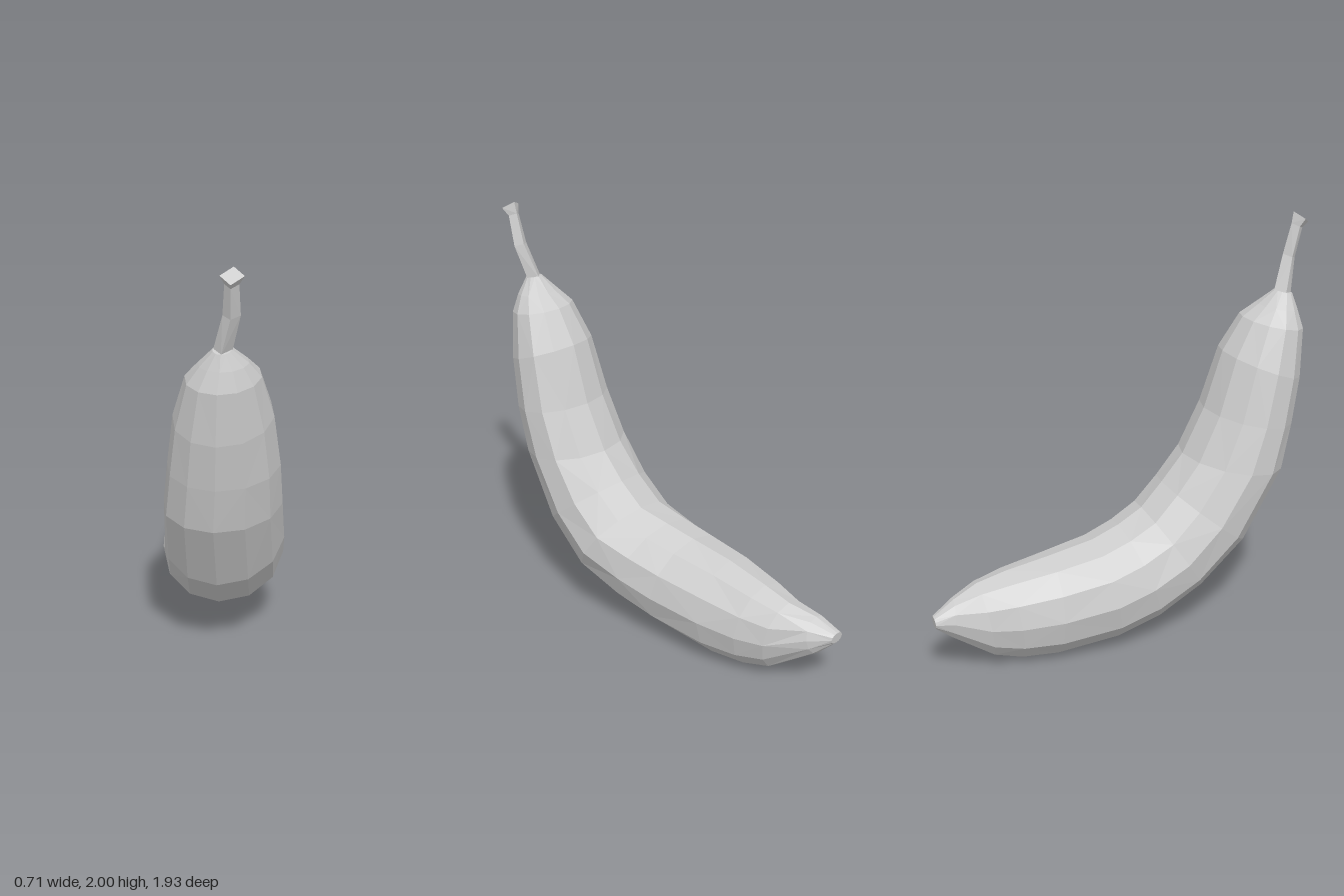
import * as THREE from 'three';

// Each section: [outer z, outer y, inner z, inner y, centre x, half width]
const BODY = [
  [0.875, 1.62, 0.79, 1.64, 0.135, 0.04],
  [0.895, 1.55, 0.71, 1.575, 0.135, 0.105],
  [0.918, 1.46, 0.63, 1.52, 0.128, 0.16],
  [0.90, 1.22, 0.53, 1.36, 0.118, 0.215],
  [0.86, 1.0, 0.44, 1.08, 0.108, 0.245],
  [0.81, 0.78, 0.33, 0.86, 0.09, 0.262],
  [0.61, 0.42, 0.22, 0.73, 0.068, 0.272],
  [0.38, 0.21, 0.11, 0.62, 0.035, 0.277],
  [0.15, 0.09, -0.02, 0.57, -0.025, 0.265],
  [-0.07, 0.03, -0.16, 0.53, -0.075, 0.255],
  [-0.38, 0.0, -0.38, 0.495, -0.125, 0.23],
  [-0.55, 0.01, -0.60, 0.455, -0.155, 0.19],
  [-0.68, 0.045, -0.74, 0.42, -0.178, 0.145],
  [-0.89, 0.20, -0.86, 0.38, -0.24, 0.08],
  [-0.955, 0.27, -0.96, 0.325, -0.283, 0.037],
];
const STEM = [
  [0.965, 1.945, 0.89, 2.0, 0.192, 0.05],
  [0.935, 1.92, 0.88, 1.945, 0.187, 0.03],
  [0.90, 1.78, 0.84, 1.80, 0.18, 0.037],
  [0.87, 1.61, 0.785, 1.63, 0.135, 0.04],
];

const SKEW = -0.12; // the fruit's bending plane is turned slightly about y

// Skin closed rings through the sections and cap both ends
function loft(sections, sides) {
  const pos = [];
  const index = [];
  for (const [oz, oy, iz, iy, cx, hw] of sections) {
    for (let j = 0; j < sides; j++) {
      const a = (j / sides) * Math.PI * 2;
      const t = (1 - Math.cos(a)) / 2;
      const dx = hw * Math.sin(a);
      pos.push(cx + dx, oy + (iy - oy) * t, oz + (iz - oz) * t + SKEW * dx);
    }
  }
  const last = sections.length - 1;
  for (let i = 0; i < last; i++) {
    for (let j = 0; j < sides; j++) {
      const k = (j + 1) % sides;
      const a = i * sides + j, b = i * sides + k;
      const c = b + sides, d = a + sides;
      // alternating diagonals give the irregular facets
      if ((i + j) % 2) index.push(a, d, c, a, c, b);
      else index.push(a, d, b, b, d, c);
    }
  }
  for (let j = 1; j < sides - 1; j++) {
    const e = last * sides;
    index.push(0, j, j + 1, e, e + j + 1, e + j);
  }
  const geo = new THREE.BufferGeometry();
  geo.setAttribute('position', new THREE.Float32BufferAttribute(pos, 3));
  geo.setIndex(index);
  geo.computeVertexNormals();
  return geo;
}

export function createModel() {
  const group = new THREE.Group();
  group.name = 'banana';
  const material = new THREE.MeshStandardMaterial({ color: 0xcccccc, flatShading: true });

  // Curved fruit body, from shoulder to blunt tip
  const body = new THREE.Mesh(loft(BODY, 12), material);
  body.name = 'body';

  // Thin stem with a flared, slanted cut end
  const stem = new THREE.Mesh(loft(STEM, 4), material);
  stem.name = 'stem';

  group.add(body, stem);
  return group;
}
